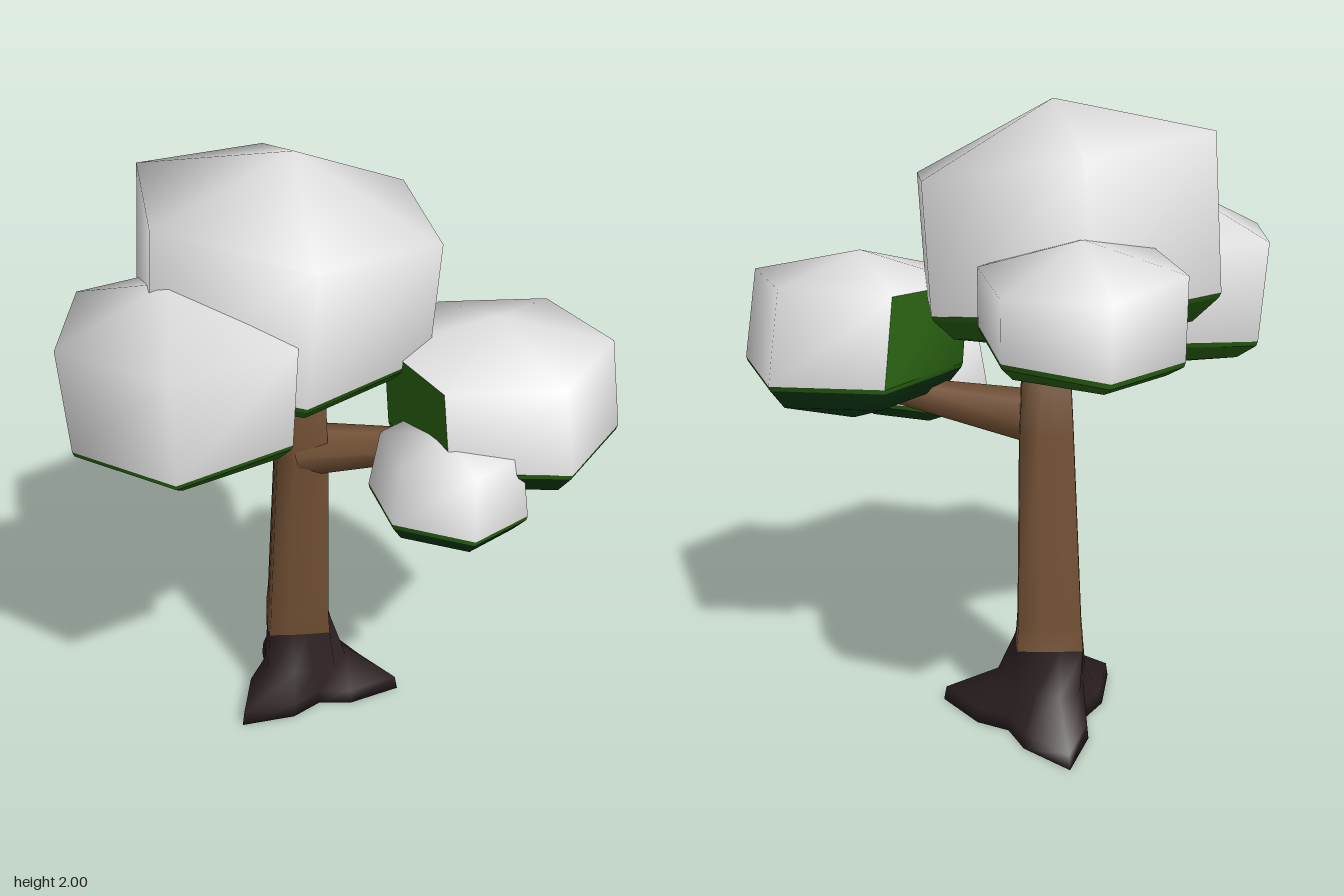
import * as THREE from 'three';

const mat = (name, color) => {
  const m = new THREE.MeshStandardMaterial({ color });
  m.name = name;
  return m;
};

// Skins a stack of rings (bottom to top, each counterclockwise from above),
// with optional end points; keep(i) can leave out side panels
function loft(rings, { top, bottom, keep = () => true }) {
  const n = rings[0].length, pos = rings.flat(2), idx = [];
  rings.slice(1).forEach((_, r) => {
    for (let i = 0; i < n; i++) {
      if (!keep(i)) continue;
      const a = r * n + i, b = r * n + (i + 1) % n;
      idx.push(a, b, b + n, a, b + n, a + n);
    }
  });
  const fan = (apex, start, up) => {
    const c = pos.length / 3;
    pos.push(...apex);
    for (let i = 0; i < n; i++) {
      const a = start + i, b = start + (i + 1) % n;
      idx.push(...(up ? [a, b, c] : [b, a, c]));
    }
  };
  if (top) fan(top, (rings.length - 1) * n, true);
  if (bottom) fan(bottom, 0, false);
  const g = new THREE.BufferGeometry();
  g.setAttribute('position', new THREE.Float32BufferAttribute(pos, 3));
  g.setIndex(idx);
  g.computeVertexNormals();
  return g;
}

// Evenly turned corner points, each made from its angle
const polygon = (sides, turn, point) => Array.from({ length: sides }, (_, k) =>
  point(THREE.MathUtils.degToRad(turn + 360 * k / sides)));

export function createModel() {
  const snow = mat('snow', 0xe0e0e0);
  const leaf = mat('leafGreen', 0x2d6914);
  const darkLeaf = mat('darkLeafGreen', 0x114018);
  const bark = mat('bark', 0x725034);
  const rootBark = mat('rootBark', 0x2d2122);

  const tree = new THREE.Group();
  tree.name = 'snowyTree';
  const add = (parent, name, geo, material) => {
    const m = new THREE.Mesh(geo, material);
    m.name = name;
    parent.add(m);
    return m;
  };

  // Trunk rings: y, centre x, centre z, radius, reach of the three roots,
  // squareness (0 is round, 1 is a square set on its corner)
  const turn = THREE.MathUtils.degToRad(7);
  const ring = ([y, cx, cz, radius, reach, square]) => polygon(12, 7, (a) => {
    const t = a - turn;
    const r = radius / (Math.abs(Math.cos(t)) + Math.abs(Math.sin(t))) ** square
      + reach * Math.abs(Math.cos(1.5 * (t - Math.PI / 3))) ** 3;
    return [cx + r * Math.cos(a), y, cz - r * Math.sin(a)];
  });
  const collar = [0.29, 0.045, -0.13, 0.15, 0, 0.9];
  add(tree, 'roots', loft([
    [0, 0.07, -0.115, 0.15, 0.19, 0], [0.05, 0.07, -0.115, 0.145, 0.185, 0],
    [0.14, 0.05, -0.115, 0.145, 0.035, 0.4], collar,
  ].map(ring), { bottom: [0.07, 0, -0.115] }), rootBark);
  add(tree, 'trunk', loft([
    collar, [0.37, 0.038, -0.12, 0.142, 0, 0.9],
    [1.0, 0.02, -0.08, 0.117, 0, 0.9], [1.26, 0.005, -0.06, 0.1, 0, 0.9],
  ].map(ring), { top: [0.005, 1.27, -0.06] }), bark);

  // Side branch
  const from = new THREE.Vector3(0.01, 1.02, -0.07), to = new THREE.Vector3(0.31, 1.08, 0.3);
  const dir = to.clone().sub(from);
  const branch = add(tree, 'branch', new THREE.CylinderGeometry(0.045, 0.09, dir.length(), 6), bark);
  branch.position.copy(from).add(to).multiplyScalar(0.5);
  branch.quaternion.setFromUnitVectors(new THREE.Vector3(0, 1, 0), dir.normalize());

  // Foliage clump: a turned hexagonal prism between two tilted planes, with a
  // peak above and below. Planes are [y at centre, slope along x, slope along z];
  // lean moves the shoulder sideways
  function addClump(name, {
    centre: [cx, cz], radius: [rx, rz], turn = 0, top, shoulder, rim, bottom,
    lean = [0, 0], topScale = 1, rimScale = 1, under = leaf, bare = [],
  }) {
    const clump = new THREE.Group();
    clump.name = name;
    tree.add(clump);
    const level = ([y, sx, sz], scale, [ox, oz] = [0, 0], drop = 0) => polygon(6, turn, (a) => {
      const dx = rx * Math.cos(a), dz = -rz * Math.sin(a);
      return [cx + ox + dx * scale, y + sx * dx + sz * dz - drop, cz + oz + dz * scale];
    });
    const upper = level(shoulder, topScale, lean), lower = level(rim, rimScale);
    const hem = level(rim, rimScale * 0.985, [0, 0], 0.015);
    // Belly ring, part of the way from the hem to the lowest point
    const pull = [0.15, 0.38, 0.15];
    const belly = hem.map((p) => p.map((v, i) => v + (bottom[i] - v) * pull[i]));
    add(clump, 'snowCap', loft([lower, upper], { top, keep: (i) => !bare.includes(i) }), snow);
    if (bare.length) {
      add(clump, 'bareLeafSide', loft([lower, upper], { keep: (i) => bare.includes(i) }), leaf);
    }
    add(clump, 'leafHem', loft([hem, lower], {}), leaf);
    add(clump, 'leafUnderside', loft([belly, hem], { bottom }), under);
  }

  addClump('crown', {
    centre: [-0.025, -0.125], radius: [0.495, 0.46], lean: [0.005, 0.035], topScale: 0.985,
    top: [-0.01, 2.0, -0.07], shoulder: [1.845, -0.08, -0.15],
    rim: [1.435, 0, -0.08], bottom: [0, 1.25, -0.1],
  });
  addClump('sideClump', {
    centre: [-0.4, -0.115], radius: [0.375, 0.395], turn: -14, rimScale: 0.95,
    top: [-0.47, 1.73, -0.07], shoulder: [1.585, 0.04, 0],
    rim: [1.28, 0.09, 0], bottom: [-0.34, 1.14, -0.1],
  });
  addClump('backClump', {
    centre: [0.255, -0.51], radius: [0.28, 0.295], turn: 4,
    top: [0.24, 1.68, -0.5], shoulder: [1.6, -0.1, 0.03],
    rim: [1.405, 0, 0.1], bottom: [0.25, 1.29, -0.47],
  });
  addClump('branchClump', {
    centre: [0.405, 0.43], radius: [0.36, 0.35], turn: 15, topScale: 0.96, lean: [-0.03, -0.02],
    top: [0.38, 1.53, 0.4], shoulder: [1.445, 0.06, 0],
    rim: [1.17, 0, 0], bottom: [0.42, 0.98, 0.42], under: darkLeaf, bare: [1, 2],
  });
  addClump('smallClump', {
    centre: [0.125, 0.46], radius: [0.235, 0.25], topScale: 0.87,
    top: [0.1, 1.26, 0.46], shoulder: [1.22, 0, 0],
    rim: [1.025, -0.06, 0], bottom: [0.12, 0.9, 0.46], under: darkLeaf,
  });
  return tree;
}
